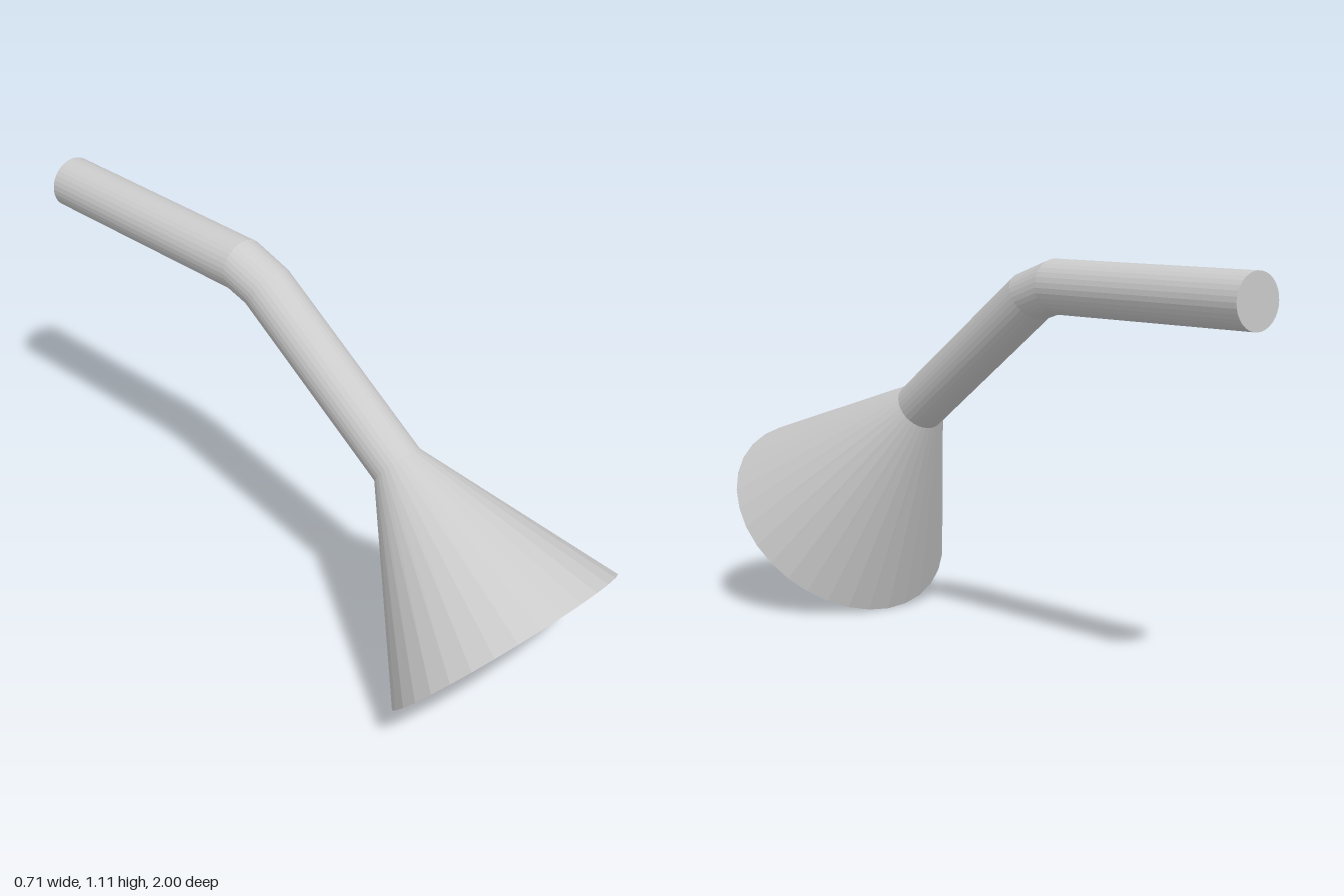
import * as THREE from 'three';

const SIDES = 32;
const material = new THREE.MeshStandardMaterial({ color: 0xcccccc, flatShading: true });

// Circular section tilted in the YZ plane, given by its top and bottom [z, y] points
function section(top, bottom) {
  const center = new THREE.Vector3(0, (top[1] + bottom[1]) / 2, (top[0] + bottom[0]) / 2);
  const up = new THREE.Vector3(0, top[1], top[0]).sub(center);
  const radius = up.length();
  const points = [];
  for (let i = 0; i < SIDES; i++) {
    const a = (i / SIDES) * Math.PI * 2;
    const p = center.clone().addScaledVector(up, Math.cos(a));
    p.x = Math.sin(a) * radius;
    points.push(p);
  }
  return { center, points };
}

function meshFrom(name, vertices) {
  const geometry = new THREE.BufferGeometry().setFromPoints(vertices);
  geometry.computeVertexNormals();
  const mesh = new THREE.Mesh(geometry, material);
  mesh.name = name;
  return mesh;
}

// Side wall between two sections, running from back to front
function wall(name, back, front) {
  const v = [];
  for (let i = 0; i < SIDES; i++) {
    const j = (i + 1) % SIDES;
    const p = back.points[i], q = back.points[j];
    const s = front.points[i], t = front.points[j];
    v.push(p, s, q, q, s, t);
  }
  return meshFrom(name, v);
}

// Flat disc closing a section
function cap(name, { center, points }, facesFront) {
  const v = [];
  for (let i = 0; i < SIDES; i++) {
    const p = points[i], q = points[(i + 1) % SIDES];
    if (facesFront) v.push(center, q, p);
    else v.push(center, p, q);
  }
  return meshFrom(name, v);
}

export function createModel() {
  const group = new THREE.Group();
  group.name = 'bentFunnel';

  const end = section([-1, 1.105], [-1, 0.953]);
  const bendBack = section([-0.25, 1.105], [-0.26, 0.953]);
  const bendFront = section([-0.115, 1.06], [-0.2, 0.935]);
  const neck = section([0.394, 0.705], [0.303, 0.583]);
  const mouth = section([1, 0.525], [0.517, 0]);

  group.add(
    cap('pipeEnd', end, false),
    wall('straightPipe', end, bendBack),
    wall('elbow', bendBack, bendFront),
    wall('slopedPipe', bendFront, neck),
    wall('cone', neck, mouth),
    cap('mouthDisc', mouth, true),
  );
  return group;
}
